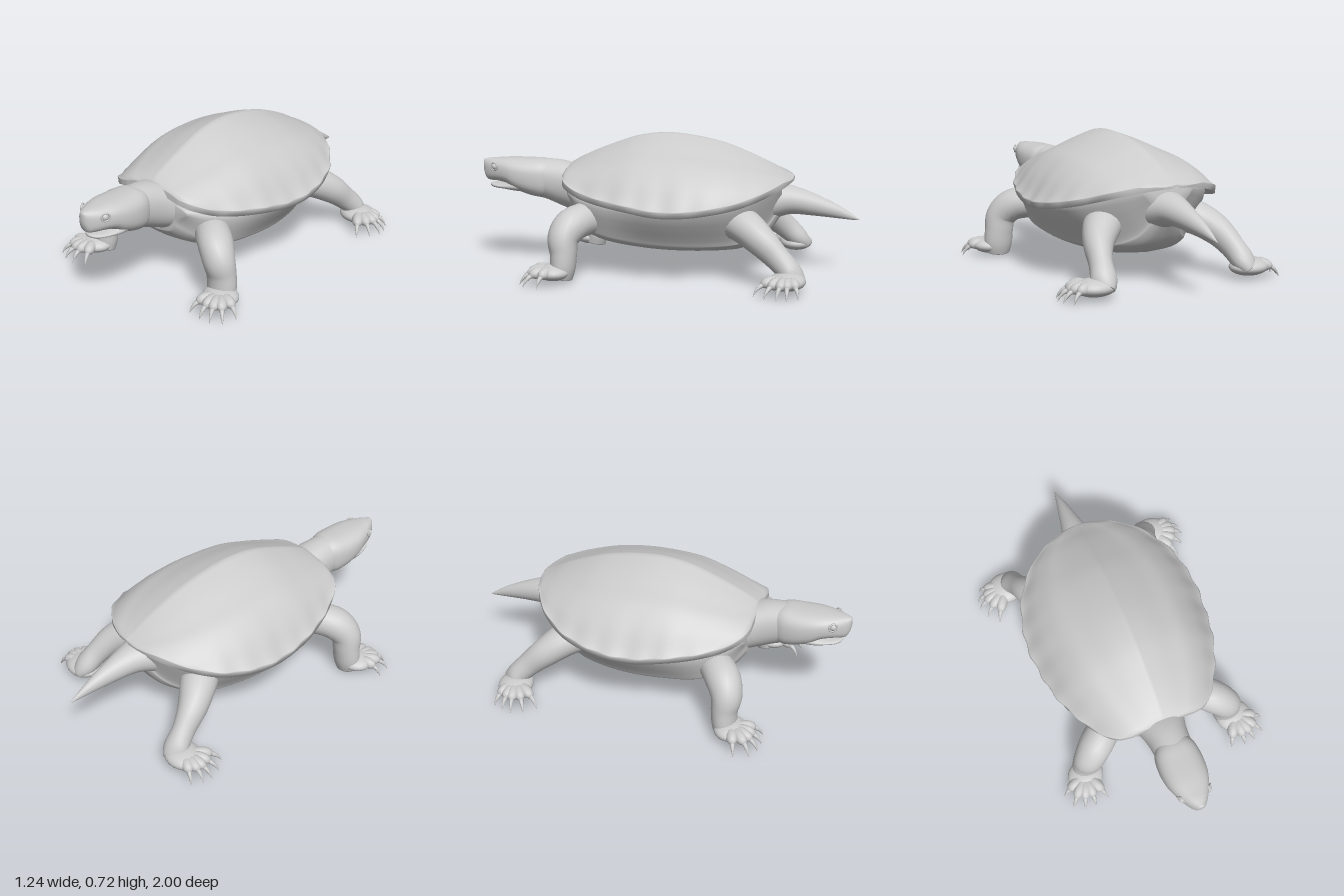
import * as THREE from 'three';

const V = (x, y, z) => new THREE.Vector3(x, y, z);
const material = new THREE.MeshStandardMaterial({ color: 0xcccccc, roughness: 0.8 });

// Smoothly interpolates rows of numbers, adding steps between each pair
function spline(rows, steps) {
  const out = [];
  const last = rows.length - 1;
  for (let i = 0; i < last; i++) {
    const a = rows[Math.max(i - 1, 0)], b = rows[i], c = rows[i + 1], d = rows[Math.min(i + 2, last)];
    for (let k = 0; k < steps; k++) {
      const t = k / steps;
      out.push(b.map((_, j) => b[j] + 0.5 * t * (c[j] - a[j] + t * (2 * a[j] - 5 * b[j] + 4 * c[j] - d[j]
        + t * (3 * (b[j] - c[j]) + d[j] - a[j])))));
    }
  }
  out.push(rows[last]);
  return out;
}

// Skins closed rings of points and caps both ends, facing outwards
function loft(name, rings) {
  const n = rings[0].length, pos = [], idx = [];
  rings.forEach(r => r.forEach(p => pos.push(p.x, p.y, p.z)));
  for (let i = 0; i < rings.length - 1; i++) {
    for (let j = 0; j < n; j++) {
      const a = i * n + j, b = i * n + (j + 1) % n;
      idx.push(a, b, a + n, b, b + n, a + n);
    }
  }
  [0, rings.length - 1].forEach((e, side) => {
    const c = rings[e].reduce((s, p) => s.add(p), V(0, 0, 0)).divideScalar(n);
    const k = pos.length / 3;
    pos.push(c.x, c.y, c.z);
    for (let j = 0; j < n; j++) {
      const a = e * n + j, b = e * n + (j + 1) % n;
      if (side) idx.push(k, a, b); else idx.push(k, b, a);
    }
  });
  // A negative volume means the faces point inwards
  let volume = 0;
  const at = i => V(pos[3 * i], pos[3 * i + 1], pos[3 * i + 2]);
  for (let i = 0; i < idx.length; i += 3) volume += at(idx[i]).dot(at(idx[i + 1]).cross(at(idx[i + 2])));
  if (volume < 0) idx.reverse();
  const g = new THREE.BufferGeometry();
  g.setAttribute('position', new THREE.Float32BufferAttribute(pos, 3));
  g.setIndex(idx);
  g.computeVertexNormals();
  const mesh = new THREE.Mesh(g, material);
  mesh.name = name;
  return mesh;
}

// Rounded cross-sections facing z; row = [z, centre y, half width, half height]
function zLoft(name, rows, power = 2, n = 32) {
  const e = 2 / power;
  const sq = v => Math.sign(v) * Math.abs(v) ** e;
  return loft(name, spline(rows, 5).map(([z, y, w, h]) => Array.from({ length: n }, (_, j) => {
    const a = j / n * Math.PI * 2;
    return V(sq(Math.cos(a)) * w, y + sq(Math.sin(a)) * h, z);
  })));
}

// Elliptical limb along a path; row = [x, y, z, radius across, radius along ref]
function limb(name, rows, ref, s = 1, n = 20, steps = 6) {
  const pts = spline(rows, steps).map(r => [V(r[0] * s, r[1], r[2]), r[3], r[4]]);
  return loft(name, pts.map(([p, w, h], i) => {
    const t = pts[Math.min(i + 1, pts.length - 1)][0].clone().sub(pts[Math.max(i - 1, 0)][0]).normalize();
    const side = ref.clone().cross(t).normalize(), up = t.clone().cross(side);
    return Array.from({ length: n }, (_, j) => {
      const a = j / n * Math.PI * 2;
      return p.clone().addScaledVector(side, Math.cos(a) * w).addScaledVector(up, Math.sin(a) * h);
    });
  }));
}

function ball(name, x, y, z, rx, ry, rz) {
  const m = new THREE.Mesh(new THREE.SphereGeometry(1, 24, 16), material);
  m.name = name;
  m.position.set(x, y, z);
  m.scale.set(rx, ry, rz);
  return m;
}

// Domed, keeled shell; row = [z, half width, rim bottom, ridge]
function shell() {
  const rows = spline([
    [0.53, 0.17, 0.475, 0.535], [0.505, 0.25, 0.455, 0.56], [0.42, 0.325, 0.42, 0.605], [0.3, 0.39, 0.395, 0.655],
    [0.15, 0.445, 0.375, 0.705], [0, 0.47, 0.355, 0.722], [-0.15, 0.48, 0.36, 0.708], [-0.3, 0.455, 0.38, 0.675],
    [-0.42, 0.405, 0.405, 0.63], [-0.53, 0.315, 0.44, 0.58], [-0.61, 0.2, 0.47, 0.535], [-0.65, 0.09, 0.488, 0.515],
    [-0.66, 0.02, 0.49, 0.51]], 6);
  const dome = spline([[0, 1], [0.22, 0.89], [0.42, 0.76], [0.62, 0.62], [0.8, 0.38], [0.94, 0.1], [1, 0]], 4);
  const under = [[0.985, -1], [0.93, -0.75], [0.85, 0.1], [0.5, 0.3], [0, 0.4]];
  return loft('shell', rows.map(([z, w, rim, top]) => {
    const edge = Math.min(0.03, (top - rim) * 0.5), wave = 0.005 * Math.sin(z * 45);
    const half = [
      ...dome.map(([u, f]) => V(u * (w + wave * u ** 6), rim + edge + (top - rim - edge) * f, z)),
      ...under.map(([u, f]) => V(u * w, rim + edge + edge * f, z))];
    return [...half, ...half.slice(1, -1).reverse().map(p => V(-p.x, p.y, p.z))];
  }));
}

// Belly and flanks; row = [z, top half width, top y, belly half width, belly y]
function belly() {
  const rows = spline([
    [0.5, 0.19, 0.42, 0.12, 0.28], [0.43, 0.27, 0.41, 0.23, 0.215], [0.3, 0.35, 0.4, 0.3, 0.165],
    [0.1, 0.41, 0.39, 0.315, 0.135], [-0.1, 0.42, 0.385, 0.315, 0.125], [-0.3, 0.395, 0.4, 0.28, 0.128],
    [-0.42, 0.34, 0.425, 0.22, 0.142], [-0.52, 0.25, 0.45, 0.13, 0.195], [-0.6, 0.13, 0.47, 0.06, 0.31]], 5);
  return loft('belly', rows.map(([z, tw, ty, bw, by]) => {
    const half = spline([[0, by], [bw * 0.6, by + 0.012], [bw * 0.93, by + 0.045], [bw * 1.03, by + 0.085],
      [tw, ty], [tw * 0.6, ty + 0.025], [0, ty + 0.03]], 4).map(([x, y]) => V(x, y, z));
    return [...half, ...half.slice(1, -1).reverse().map(p => V(-p.x, p.y, p.z))];
  }));
}

// Foot pad with toes and curved claws reaching the given [x, z] tips
function foot(name, c, size, tips, s) {
  const g = new THREE.Group();
  g.name = name;
  g.add(ball('footPad', c[0] * s, c[1], c[2], ...size));
  for (const [x, z] of tips) {
    const mix = (t, y, r) => [c[0] + (x - c[0]) * t, y, c[2] + (z - c[2]) * t, r, r];
    g.add(limb('toe', [mix(0.1, 0.06, 0.03), mix(0.45, 0.068, 0.03), mix(0.66, 0.06, 0.025), mix(0.74, 0.048, 0.008)],
      V(0, 1, 0), s, 12, 4));
    g.add(limb('claw', [mix(0.62, 0.062, 0.013), mix(0.8, 0.05, 0.011), mix(0.93, 0.028, 0.006), mix(1, 0.005, 0.001)],
      V(0, 1, 0), s, 8, 4));
  }
  return g;
}

export function createModel() {
  const model = new THREE.Group();
  model.name = 'turtle';
  model.add(shell(), belly());

  // Neck, head with beak, lower jaw
  model.add(zLoft('neck', [[0.3, 0.38, 0.19, 0.12], [0.45, 0.405, 0.145, 0.125], [0.56, 0.438, 0.11, 0.122],
    [0.65, 0.46, 0.1, 0.108], [0.72, 0.467, 0.1, 0.098], [0.8, 0.48, 0.09, 0.085]], 2.2));
  model.add(zLoft('head', [[0.62, 0.465, 0.085, 0.09], [0.67, 0.466, 0.108, 0.104], [0.74, 0.473, 0.116, 0.098],
    [0.81, 0.487, 0.112, 0.085], [0.86, 0.502, 0.1, 0.069], [0.91, 0.506, 0.08, 0.062], [0.95, 0.506, 0.058, 0.06],
    [0.98, 0.508, 0.036, 0.054], [0.995, 0.523, 0.02, 0.036], [1, 0.53, 0.006, 0.018]], 2.6));
  model.add(zLoft('lowerJaw', [[0.74, 0.43, 0.09, 0.045], [0.82, 0.423, 0.092, 0.028], [0.88, 0.42, 0.075, 0.016],
    [0.93, 0.421, 0.052, 0.013], [0.955, 0.424, 0.028, 0.01], [0.965, 0.427, 0.006, 0.004]], 2.3));

  // Tail
  model.add(zLoft('tail', [[-0.42, 0.36, 0.17, 0.12], [-0.54, 0.375, 0.125, 0.1], [-0.64, 0.383, 0.086, 0.076],
    [-0.75, 0.363, 0.057, 0.06], [-0.88, 0.328, 0.029, 0.036], [-0.96, 0.3, 0.011, 0.015], [-1, 0.285, 0.001, 0.001]]));

  for (const s of [1, -1]) {
    const side = s > 0 ? 'left' : 'right';

    // Eye, lid and nostril
    model.add(ball(side + 'Eye', s * 0.073, 0.53, 0.918, 0.015, 0.017, 0.018));
    const lid = new THREE.Mesh(new THREE.TorusGeometry(0.02, 0.005, 8, 24), material);
    lid.name = side + 'Eyelid';
    lid.position.set(s * 0.077, 0.53, 0.92);
    lid.rotation.y = s * 1.05;
    model.add(lid);
    model.add(ball(side + 'Nostril', s * 0.013, 0.545, 0.991, 0.006, 0.006, 0.006));

    // Front leg: shoulder out to the elbow, then straight down
    model.add(limb(side + 'FrontLeg', [[0.16, 0.3, 0.3, 0.08, 0.07], [0.25, 0.305, 0.37, 0.085, 0.085],
      [0.335, 0.285, 0.44, 0.085, 0.09], [0.385, 0.225, 0.475, 0.082, 0.08], [0.4, 0.15, 0.472, 0.078, 0.068],
      [0.405, 0.08, 0.475, 0.078, 0.064], [0.405, 0.03, 0.485, 0.068, 0.06]], V(0, 0, 1), s));
    model.add(foot(side + 'FrontFoot', [0.43, 0.06, 0.515], [0.095, 0.042, 0.085],
      [[0.36, 0.665], [0.435, 0.68], [0.495, 0.675], [0.55, 0.645], [0.575, 0.57]], s));

    // Rear leg: slants back and outwards to a sideways foot
    model.add(limb(side + 'RearLeg', [[0.18, 0.31, -0.32, 0.09, 0.09], [0.27, 0.295, -0.42, 0.095, 0.088],
      [0.345, 0.235, -0.515, 0.076, 0.078], [0.383, 0.16, -0.6, 0.058, 0.064], [0.405, 0.095, -0.665, 0.064, 0.056],
      [0.425, 0.055, -0.69, 0.06, 0.04]], V(0, 1, 0), s));
    model.add(foot(side + 'RearFoot', [0.445, 0.062, -0.655], [0.105, 0.044, 0.09],
      [[0.59, -0.715], [0.615, -0.66], [0.62, -0.61], [0.595, -0.55], [0.545, -0.495]], s));
  }
  return model;
}
